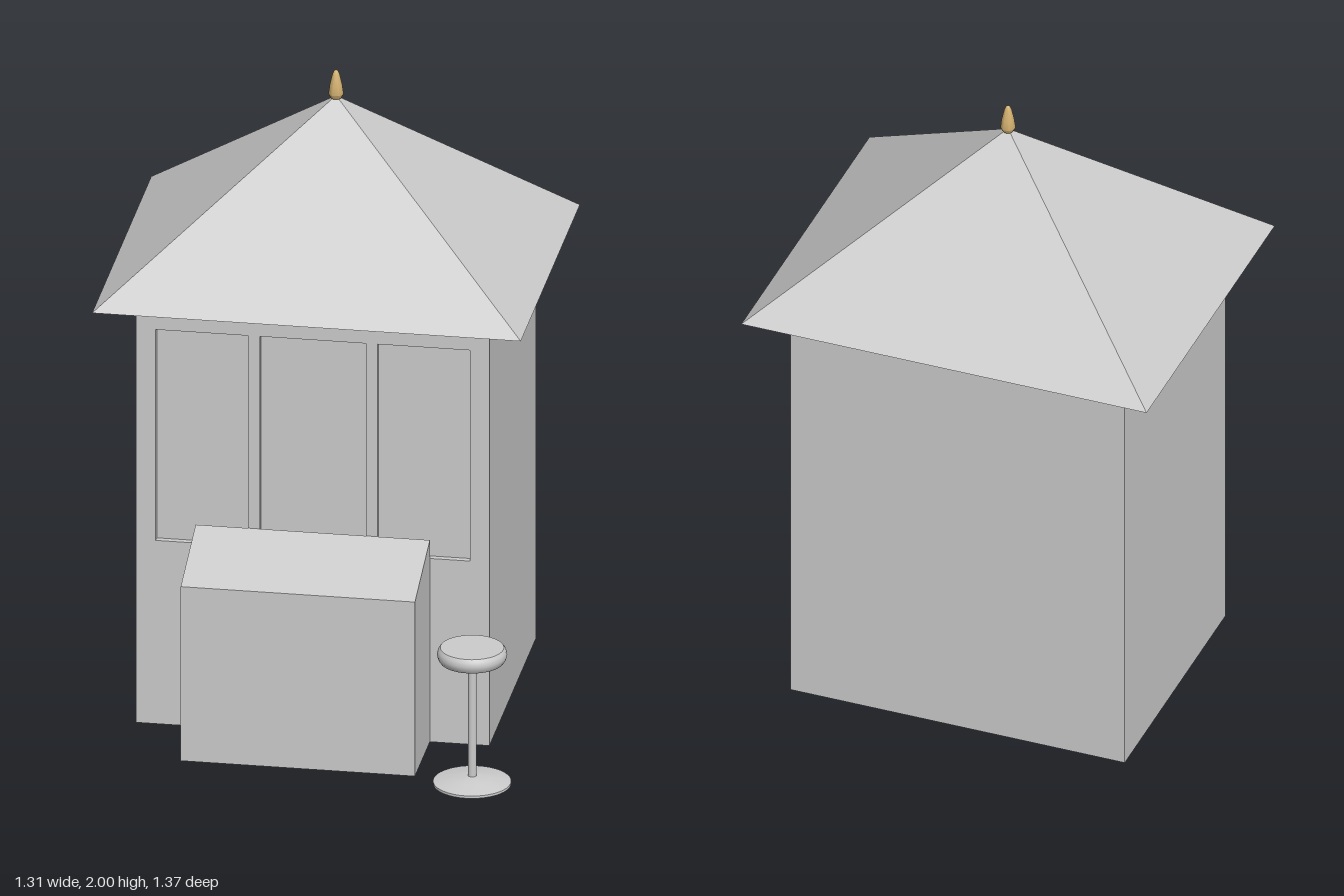
import * as THREE from 'three';
import { toCreasedNormals } from 'three/addons/utils/BufferGeometryUtils.js';

export function createModel() {
  const model = new THREE.Group();
  const grey = new THREE.MeshStandardMaterial({ color: 0xcccccc });
  grey.name = 'light grey';
  const gold = new THREE.MeshStandardMaterial({ color: 0xd2b070 });
  gold.name = 'gold';

  const add = (name, geometry, material = grey, parent = model) => {
    const mesh = new THREE.Mesh(geometry, material);
    mesh.name = name;
    parent.add(mesh);
    return mesh;
  };
  // Box from its minimum and maximum corners
  const box = (x0, x1, y0, y1, z0, z1) =>
    new THREE.BoxGeometry(x1 - x0, y1 - y0, z1 - z0)
      .translate((x0 + x1) / 2, (y0 + y1) / 2, (z0 + z1) / 2);
  const lathe = (points, segments) => toCreasedNormals(
    new THREE.LatheGeometry(points.map(([r, y]) => new THREE.Vector2(r, y)), segments), 0.6);
  const outline = (points) => points.map(([x, y]) => new THREE.Vector2(x, y));

  // Booth body, with a front wall that frames the recessed window
  add('body', box(-0.54, 0.54, 0, 1.38, -0.57, 0.25));
  const wall = new THREE.Shape(outline([[-0.54, 0], [0.54, 0], [0.54, 1.38], [-0.54, 1.38]]));
  wall.holes.push(new THREE.Path(outline([[-0.48, 0.6], [-0.48, 1.29], [0.48, 1.29], [0.48, 0.6]])));
  add('frontWall', new THREE.ExtrudeGeometry(wall, { depth: 0.02, bevelEnabled: false }).translate(0, 0, 0.25));
  for (const x of [-0.18, 0.18]) {
    add('windowPost', box(x - 0.018, x + 0.018, 0.6, 1.29, 0.25, 0.267));
  }

  // Counter with a sloping top
  const side = new THREE.Shape(outline([[0.27, 0], [0.54, 0], [0.54, 0.57], [0.27, 0.66]]));
  add('counter', new THREE.ExtrudeGeometry(side, { depth: 0.716, bevelEnabled: false })
    .rotateY(-Math.PI / 2).translate(0.358, 0, 0));

  // Four-sided roof with a closed underside
  const roof = new THREE.ConeGeometry(Math.SQRT1_2, 1, 4).rotateY(Math.PI / 4)
    .scale(1.31, 0.535, 1.07).translate(0, 1.6475, -0.15).toNonIndexed();
  roof.computeVertexNormals();
  add('roof', roof);

  // Roof finial
  add('finial', lathe([[0, 1.905], [0.016, 1.908], [0.023, 1.922], [0.019, 1.95], [0.011, 1.985], [0.006, 1.996], [0, 2]], 20), gold)
    .position.z = -0.15;

  // Bar stool
  const stool = new THREE.Group();
  stool.name = 'stool';
  stool.position.set(0.537, 0, 0.565);
  model.add(stool);
  add('stoolBase', lathe([[0, 0], [0.118, 0], [0.118, 0.008], [0.06, 0.02], [0.013, 0.026], [0, 0.026]], 40), grey, stool);
  add('stoolStem', new THREE.CylinderGeometry(0.013, 0.013, 0.38, 20).translate(0, 0.21, 0), grey, stool);
  add('stoolSeat', lathe([[0, 0.4], [0.096, 0.4], [0.103, 0.41], [0.106, 0.423], [0.103, 0.436], [0.096, 0.445], [0, 0.445]], 40), grey, stool);

  return model;
}
